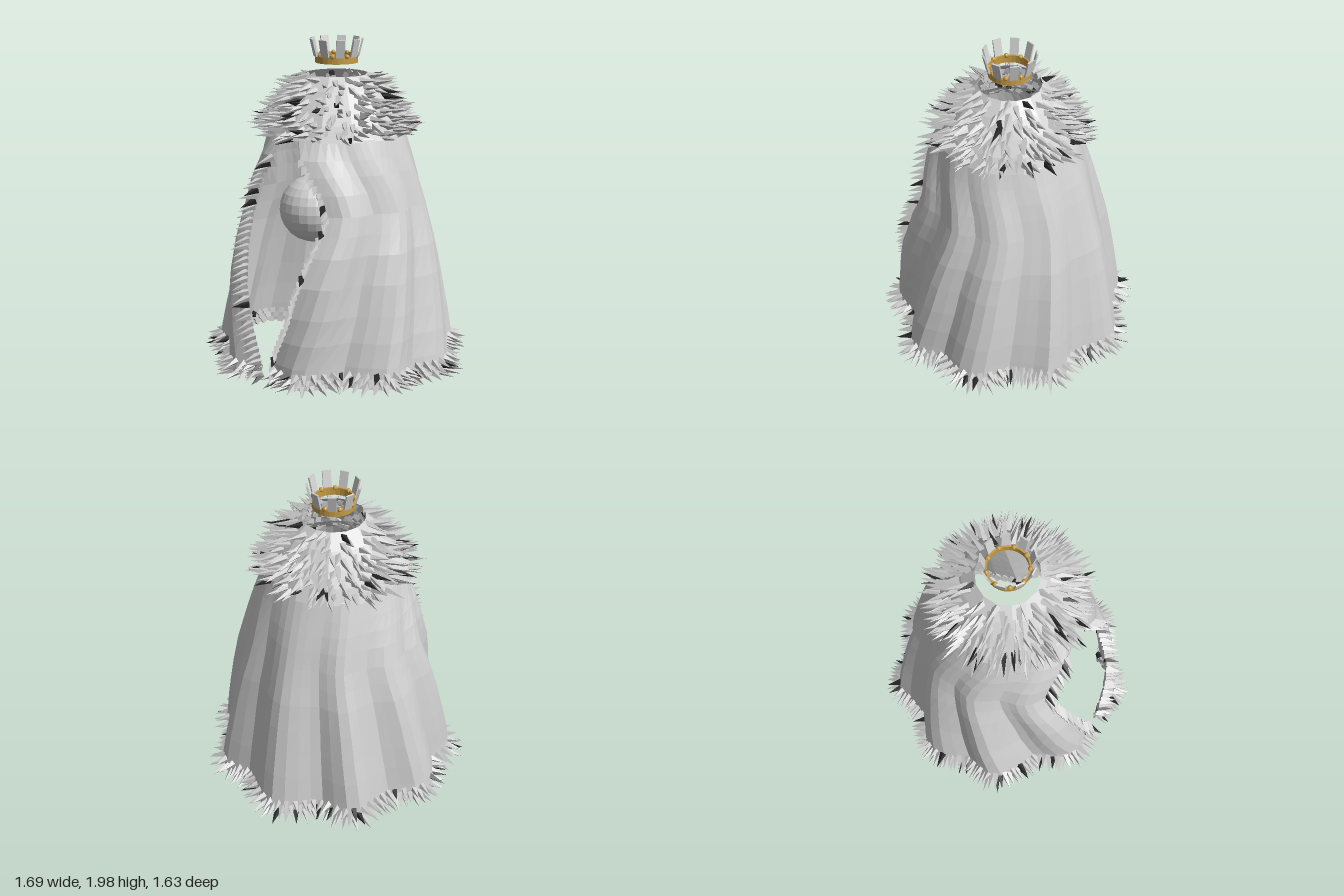
import * as THREE from 'three';
import { mergeGeometries } from 'three/addons/utils/BufferGeometryUtils.js';

const flat = (name, color, side = THREE.FrontSide) => {
  const m = new THREE.MeshStandardMaterial({ color, side, flatShading: true });
  m.name = name;
  return m;
};

// piecewise linear lookup in [key, value] pairs
function lookup(table, t) {
  for (let i = 1; i < table.length; i++) {
    const [a, va] = table[i - 1], [b, vb] = table[i];
    if (t <= b) return va + (vb - va) * Math.max(0, (t - a) / (b - a));
  }
  return table[table.length - 1][1];
}

// hem radius by angle from the back, in degrees: the folds of the cape
const LOBES = [[0, 0.75], [6, 0.735], [24, 0.635], [36, 0.72], [40, 0.75], [45, 0.745], [53, 0.68],
  [66, 0.65], [77, 0.745], [84, 0.76], [90, 0.75], [103, 0.68], [116, 0.76], [121, 0.765],
  [128, 0.72], [143, 0.63], [157, 0.73], [165, 0.75], [172, 0.71], [180, 0.68]];
// by height: overall size, depth of the folds, half width of the front opening
const SIZE = [[0.04, 1], [0.3, 0.955], [0.6, 0.89], [0.8, 0.84], [1, 0.77], [1.2, 0.7], [1.45, 0.59], [1.52, 0.52]];
const FOLD = [[0.04, 1], [0.6, 0.8], [1, 0.5], [1.52, 0.1]];
const OPEN = [[0.04, 0.04], [0.2, 0.07], [0.4, 0.15], [0.6, 0.2], [0.8, 0.25], [1, 0.29],
  [1.15, 0.24], [1.34, 0.11], [1.45, 0.05], [1.52, 0.03]];
// by height: how far the front edges flare forward
const FLARE = [[0.04, 0], [0.2, 0.02], [0.4, 0.04], [0.6, 0.055], [0.8, 0.035], [1, 0.01],
  [1.2, 0.035], [1.34, 0.045], [1.45, 0.01], [1.52, 0]];

// point on the cape; u runs from -1 to 1 around the back, 0 at the centre back
function capePoint(u, y) {
  const radius = (v) => lookup(SIZE, y) * (0.7 + (lookup(LOBES, v * 180) - 0.7) * lookup(FOLD, y))
    + lookup(FLARE, y) * lookup([[0.82, 0], [1, 1]], v);
  const end = Math.PI - Math.asin(lookup(OPEN, y) / radius(1));
  const a = u * end, r = radius(Math.abs(u));
  return new THREE.Vector3(Math.sin(a) * r, y, -Math.cos(a) * r);
}

function capeNormal(u, y) {
  const a = capePoint(Math.max(-1, u - 0.02), y), b = capePoint(Math.min(1, u + 0.02), y);
  return new THREE.Vector3(b.z - a.z, 0, a.x - b.x).normalize();
}

function capeGeometry() {
  const cols = 56;
  const rows = [0.04, 0.16, 0.3, 0.45, 0.63, 0.8, 0.92, 1.03, 1.15, 1.25, 1.34, 1.45, 1.52];
  const pos = [], index = [];
  rows.forEach((y, j) => {
    for (let i = 0; i <= cols; i++) {
      pos.push(...capePoint(-1 + (2 * i) / cols, y).toArray());
      if (j && i) {
        const d = j * (cols + 1) + i, c = d - 1, b = d - cols - 1, a = b - 1;
        index.push(a, c, b, b, c, d);
      }
    }
  });
  const g = new THREE.BufferGeometry();
  g.setAttribute('position', new THREE.Float32BufferAttribute(pos, 3));
  g.setIndex(index);
  g.computeVertexNormals();
  return g;
}

export function createModel() {
  const cloth = flat('cloth grey', 0xd2d2d2, THREE.DoubleSide);
  const furMat = flat('fur grey', 0xcacaca);
  const blackMat = flat('fur black', 0x282828);
  const gold = flat('gold', 0xc69c44, THREE.DoubleSide);

  const model = new THREE.Group();
  model.name = 'royalCape';
  const add = (name, geo, mat, parent = model) => {
    const m = new THREE.Mesh(geo, mat);
    m.name = name;
    parent.add(m);
    return m;
  };

  let seed = 17;
  const rand = () => (seed = (seed * 16807) % 2147483647) / 2147483647;
  const jitter = (s) => (rand() - 0.5) * 2 * s;

  // tufts of fur: four-sided spikes gathered by colour
  const up = new THREE.Vector3(0, 1, 0);
  function fur(name, fill) {
    const light = [], dark = [];
    fill((base, dir, radius, length) => {
      dir.normalize();
      const g = new THREE.ConeGeometry(radius, length, 4);
      g.translate(0, length / 2 - 0.015, 0);
      g.applyQuaternion(new THREE.Quaternion().setFromUnitVectors(up, dir));
      g.translate(base.x, base.y, base.z);
      (rand() < 0.085 ? dark : light).push(g);
    });
    const group = new THREE.Group();
    group.name = name;
    model.add(group);
    add(name + 'Light', mergeGeometries(light), furMat, group);
    add(name + 'Dark', mergeGeometries(dark), blackMat, group);
  }

  add('cape', capeGeometry(), cloth);

  // fur along the hem
  fur('hemFur', (spike) => {
    [0.05, 0.083, 0.115].forEach((y, row) => {
      for (let i = 0; i < 84; i++) {
        const u = -1 + (2 * (i + (row % 2) / 2)) / 83.5;
        const dir = capeNormal(u, y).add(new THREE.Vector3(jitter(0.1), -0.22 + jitter(0.1), jitter(0.1)));
        spike(capePoint(u, y), dir, 0.024, 0.09 + rand() * 0.025);
      }
    });
  });

  // fur along both edges of the front opening
  fur('openingFur', (spike) => {
    for (const side of [-1, 1]) {
      for (let y = 0.07; y < 1.34; y += 0.036) {
        const dir = new THREE.Vector3(side * 0.45 + jitter(0.15), -0.2 + jitter(0.15), 0.8);
        spike(capePoint(side, y), dir, 0.024, 0.095 + rand() * 0.015);
      }
    }
  });

  // domed collar, open at the neck
  const profile = [[0.43, 1.44], [0.39, 1.53], [0.335, 1.62], [0.27, 1.71], [0.19, 1.79]];
  add('collar', new THREE.LatheGeometry(profile.map(([r, y]) => new THREE.Vector2(r, y)), 14), cloth);
  const collarRadius = profile.map(([r, y]) => [y, r]);

  fur('collarFur', (spike) => {
    const count = 350;
    for (let i = 0; i < count; i++) {
      // more tufts where the collar is wider
      const t = 1 - Math.sqrt(1 - 0.9 * ((i + 0.5) / count));
      const y = 1.45 + t * 0.48;
      const a = i * 2.39996 + jitter(0.15);
      const r = lookup(collarRadius, y) * 0.985;
      const out = new THREE.Vector3(Math.sin(a), 0, Math.cos(a));
      const base = out.clone().multiplyScalar(r).setY(y);
      out.add(new THREE.Vector3(jitter(0.25), 0.05 + jitter(0.25), jitter(0.25)));
      spike(base, out, 0.023, 0.1 + rand() * 0.06);
    }
  });

  // orb held inside the opening
  add('orb', new THREE.SphereGeometry(0.2, 24, 12), cloth).position.set(0, 1, 0.23);

  // crown: gold band, beads and leaning slats
  const crown = new THREE.Group();
  crown.name = 'crown';
  model.add(crown);
  const band = [[0.119, 1.855], [0.129, 1.855], [0.129, 1.903], [0.119, 1.903], [0.119, 1.855]];
  add('crownBand', new THREE.LatheGeometry(band.map(([r, y]) => new THREE.Vector2(r, y)), 27), gold, crown);
  for (let i = 0; i < 9; i++) {
    const spoke = new THREE.Group();
    spoke.name = 'crownSpoke';
    spoke.rotation.y = Math.PI / 2 - 0.05 + (i * Math.PI * 2) / 9;
    crown.add(spoke);
    const slat = add('crownSlat', new THREE.BoxGeometry(0.052, 0.108, 0.01), cloth, spoke);
    slat.position.set(0, 1.947, 0.144);
    slat.rotation.x = 0.24;
    const a = Math.PI / 9;
    add('crownBead', new THREE.SphereGeometry(0.015, 8, 6), gold, spoke)
      .position.set(Math.sin(a) * 0.124, 1.9, Math.cos(a) * 0.124);
  }
  return model;
}
